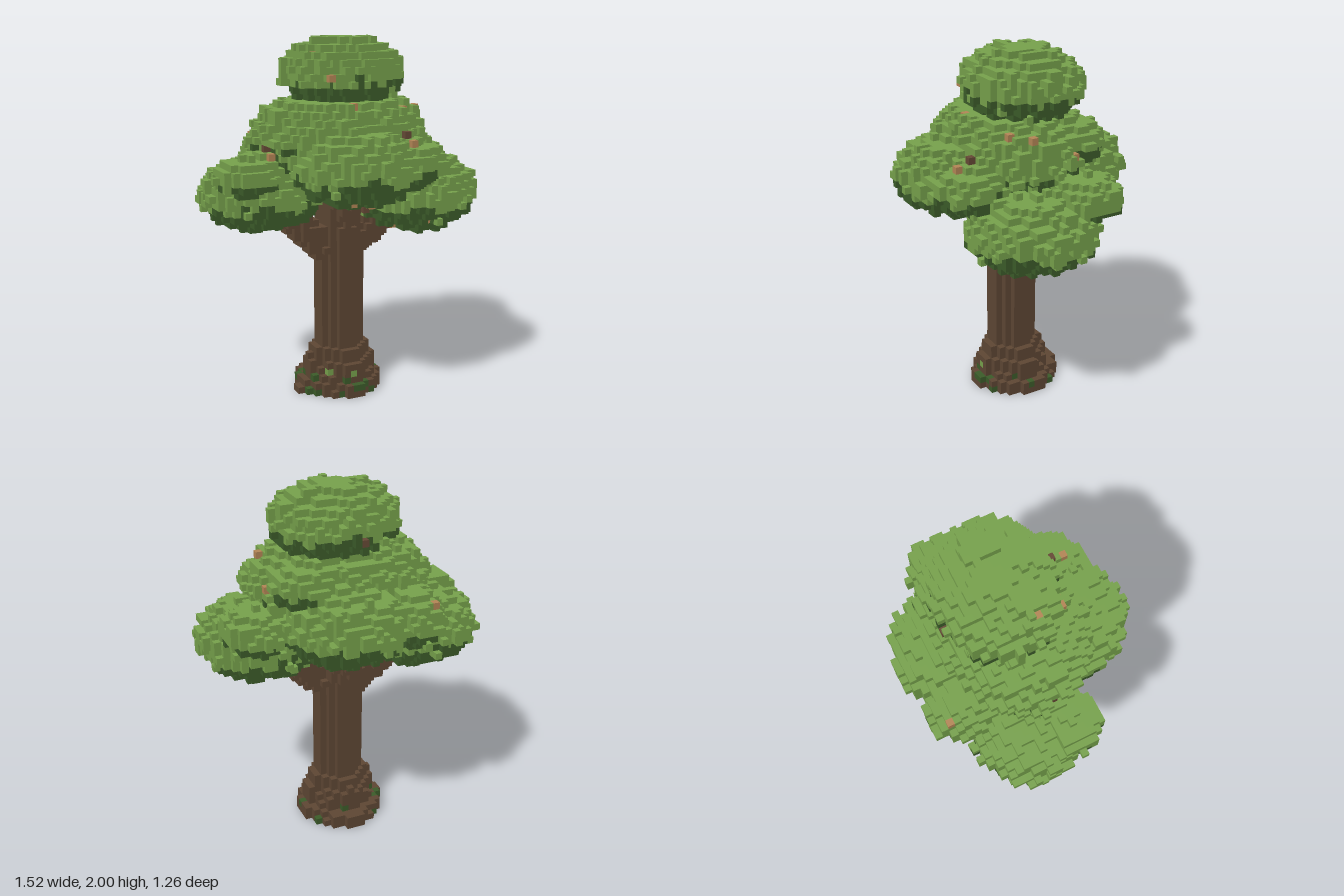
import * as THREE from 'three';

const S = 1 / 27; // block size
const NX = 20, Z0 = -17, Z1 = 16, NY = 54;

const material = (name, color) => {
  const m = new THREE.MeshStandardMaterial({ color });
  m.name = name;
  return m;
};

// Leaf clumps: centre, radii and the relative height below which they are shaded
const clumps = [
  { name: 'topCrown', c: [0.04, 1.81, -0.055], r: [0.35, 0.2, 0.315], shade: -0.2, minY: 1.66 },
  { name: 'middleCrown', c: [0, 1.47, -0.01], r: [0.5, 0.27, 0.4], shade: -0.25, maxY: 1.67 },
  { name: 'middleCrown', c: [0.24, 1.53, -0.22], r: [0.22, 0.13, 0.18], shade: -0.2, maxY: 1.67 },
  { name: 'rightBough', c: [-0.42, 1.165, -0.12], r: [0.35, 0.205, 0.32], shade: -0.25 },
  { name: 'rightBough', c: [-0.56, 1.285, 0.07], r: [0.18, 0.11, 0.16], shade: -0.25 },
  { name: 'leftBough', c: [0.42, 1.145, 0.1], r: [0.345, 0.22, 0.345], shade: -0.25 },
  { name: 'leftBough', c: [0.52, 1.3, -0.15], r: [0.18, 0.125, 0.2], shade: -0.35 },
  { name: 'frontBough', c: [-0.05, 1.34, 0.29], r: [0.34, 0.21, 0.34], shade: -0.2 },
  { name: 'frontBough', c: [0.24, 1.35, 0.36], r: [0.18, 0.13, 0.2], shade: -0.2 },
  { name: 'backBough', c: [0.07, 1.33, -0.3], r: [0.34, 0.22, 0.33], shade: -0.25 },
  { name: 'backBough', c: [-0.25, 1.33, -0.39], r: [0.17, 0.16, 0.21], shade: -0.25 },
];

// Branches: start, end, radius
const branches = [
  [[-0.09, 0.82, -0.02], [-0.37, 1.12, -0.1], 0.08],
  [[0.07, 0.84, -0.02], [0.38, 1.1, 0.03], 0.08],
  [[0, 0.86, -0.05], [0.02, 1.25, -0.3], 0.085],
  [[0, 0.98, 0], [0, 1.25, 0.2], 0.075],
].map(([a, b, r]) => ({ line: new THREE.Line3(new THREE.Vector3(...a), new THREE.Vector3(...b)), r }));

// Blossom and moss spots: the first block met along an axis, at the two other coordinates
const blossoms = [
  ['y', -0.33, -0.5], ['y', 0, -0.35, 'darkBlossom'], ['y', 0.44, -0.13], ['y', -0.19, 0.05], ['y', 0.4, 0.09],
  ['z', -0.15, 1.8], ['z', -0.03, 1.65], ['z', 0.3, 1.61], ['z', 0.22, 1.48], ['z', 0.22, 1.51, 'darkBlossom'],
  ['z', -0.45, 1.4], ['z', -0.45, 1.43, 'darkBlossom'], ['z', -0.11, 1.18], ['z', 0, 1.13],
  ['z', 0.11, 1.1], ['z', 0.11, 1.07, 'darkBlossom'], ['z', 0.37, 1.03], ['z', 0.3, 0.94],
  ['x', -0.24, 1.07, 'darkBlossom'], ['x', -0.13, 0.99],
];
const mossSpots = [['z', -0.11, 0.13, 'leaf'], ['z', 0, 0.13, 'leaf'], ['x', -0.2, 0.09, 'darkLeaf'], ['z', -0.19, 0.09, 'darkLeaf']];

const hash = (i, j, k) => {
  const v = Math.sin(i * 127.1 + j * 311.7 + k * 74.7) * 43758.5453;
  return v - Math.floor(v);
};

// Coarse blotches, -1 to 1
const blotch = (i, j, k) => Math.sin(i * 0.9 + k * 0.5) * Math.cos(k * 0.8 - j * 0.6 + i * 0.2);

const centre = (i, j, k) => [i * S, (j + 0.5) * S, (k + 0.5) * S];
const key = (i, j, k) => `${i},${j},${k}`;

// Trunk radius in blocks, flared over the root levels
const rootRadii = [6.45, 6.2, 5.2, 4.9, 4.6, 4.1, 3.7];
const trunkRadius = j => rootRadii[j] ?? (j < 26 ? 3.2 : 2.9);

function woodAt(i, j, k) {
  const di = Math.abs(i), dk = Math.abs(k + (j < 2 ? 1.5 : 1));
  // Roots reach further along the two axes
  const root = j < 7 && Math.min(di, dk) < 2 ? 0.7 : 0;
  const grain = j < 7 ? 0.5 * (hash(i, 0, k) - 0.5) : 0;
  if (j < 33 && Math.hypot(di, dk) <= trunkRadius(j) + root + grain) return true;
  const p = new THREE.Vector3(...centre(i, j, k)), q = new THREE.Vector3();
  return branches.some(({ line, r }) => line.closestPointToPoint(p, true, q).distanceTo(p) < r);
}

function leafAt(i, j, k) {
  const p = centre(i, j, k);
  // A ragged limit makes the leaf surface bumpy
  let best = null, least = 0.96 + 0.15 * (hash(i, j, k) - 0.5) + 0.02 * blotch(i, j, k);
  for (const clump of clumps) {
    if (p[1] > (clump.maxY ?? 9) || p[1] < (clump.minY ?? 0)) continue;
    const d = Math.hypot(...p.map((v, n) => (v - clump.c[n]) / clump.r[n]));
    if (d < least) {
      least = d;
      best = clump;
    }
  }
  if (!best) return null;
  const h = (p[1] - best.c[1]) / best.r[1];
  const limit = best.shade + 0.17 * blotch(i + 9, j, k) + 0.2 * (hash(k, i, j) - 0.5);
  return { part: best.name, tone: h < limit ? 'darkLeaf' : 'leaf' };
}

// Recolour the first block met along each spot's axis
function paintSpots(blocks, part, spots) {
  for (const [axis, a, b, tone = 'blossom'] of spots) {
    const ia = Math.round(a / S), ka = Math.floor(a / S), jb = Math.floor(b / S);
    for (let n = NY; n >= -NX; n--) {
      const at = axis === 'y' ? key(ia, n, jb) : axis === 'z' ? key(ia, jb, n) : key(n, jb, ka);
      if (!blocks.has(at)) continue;
      blocks.set(at, { part, tone });
      break;
    }
  }
}

function fillBlocks() {
  const blocks = new Map();
  for (let i = -NX; i <= NX; i++)
    for (let k = Z0; k <= Z1; k++)
      for (let j = NY - 1; j >= 0; j--) {
        let b = j > 24 ? leafAt(i, j, k) : null;
        // Leaves open to the sky are never shaded
        if (b && !blocks.has(key(i, j + 1, k))) b.tone = 'leaf';
        if (!b && woodAt(i, j, k)) {
          // Moss flecks low on the roots
          const mossy = j < 3 && hash(k, i, j) < 0.16 && Math.hypot(i, k + 1) > 4;
          b = mossy ? { part: 'rootMoss', tone: 'darkLeaf' } : { part: j < 7 ? 'roots' : 'trunk', tone: 'bark' };
        }
        if (b) blocks.set(key(i, j, k), b);
      }
  paintSpots(blocks, 'blossoms', blossoms);
  paintSpots(blocks, 'rootMoss', mossSpots);
  return blocks;
}

// Add the two triangles of one block face
function addFace(out, c, axis, sign) {
  const u = (axis + 1) % 3, v = (axis + 2) % 3;
  const corners = [[-1, -1], [1, -1], [1, 1], [-1, 1]].map(([a, b]) => {
    const p = [...c];
    p[axis] += sign * S / 2;
    p[u] += a * S / 2;
    p[v] += b * S / 2;
    return p;
  });
  const order = sign > 0 ? [0, 1, 2, 0, 2, 3] : [0, 2, 1, 0, 3, 2];
  for (const n of order) out.push(...corners[n]);
}

export function createModel() {
  const materials = {
    leaf: material('leaf green', 0x77a24c),
    darkLeaf: material('shaded leaf green', 0x3c5c2a),
    bark: material('bark brown', 0x5e4734),
    blossom: material('blossom tan', 0xb48656),
    darkBlossom: material('blossom brown', 0x664a36),
  };

  // Gather only the exposed faces, sorted by part and colour
  const blocks = fillBlocks();
  const parts = {};
  for (const [id, { part, tone }] of blocks) {
    const cell = id.split(',').map(Number);
    for (let axis = 0; axis < 3; axis++)
      for (const sign of [-1, 1]) {
        const next = [...cell];
        next[axis] += sign;
        if (blocks.has(key(...next))) continue;
        const tones = (parts[part] ??= {});
        addFace((tones[tone] ??= []), centre(...cell), axis, sign);
      }
  }

  const tree = new THREE.Group();
  tree.name = 'tree';
  for (const [part, tones] of Object.entries(parts)) {
    const group = new THREE.Group();
    group.name = part;
    for (const [tone, positions] of Object.entries(tones)) {
      const geometry = new THREE.BufferGeometry();
      geometry.setAttribute('position', new THREE.Float32BufferAttribute(positions, 3));
      geometry.computeVertexNormals();
      const mesh = new THREE.Mesh(geometry, materials[tone]);
      mesh.name = `${part} ${materials[tone].name}`;
      group.add(mesh);
    }
    tree.add(group);
  }
  return tree;
}
